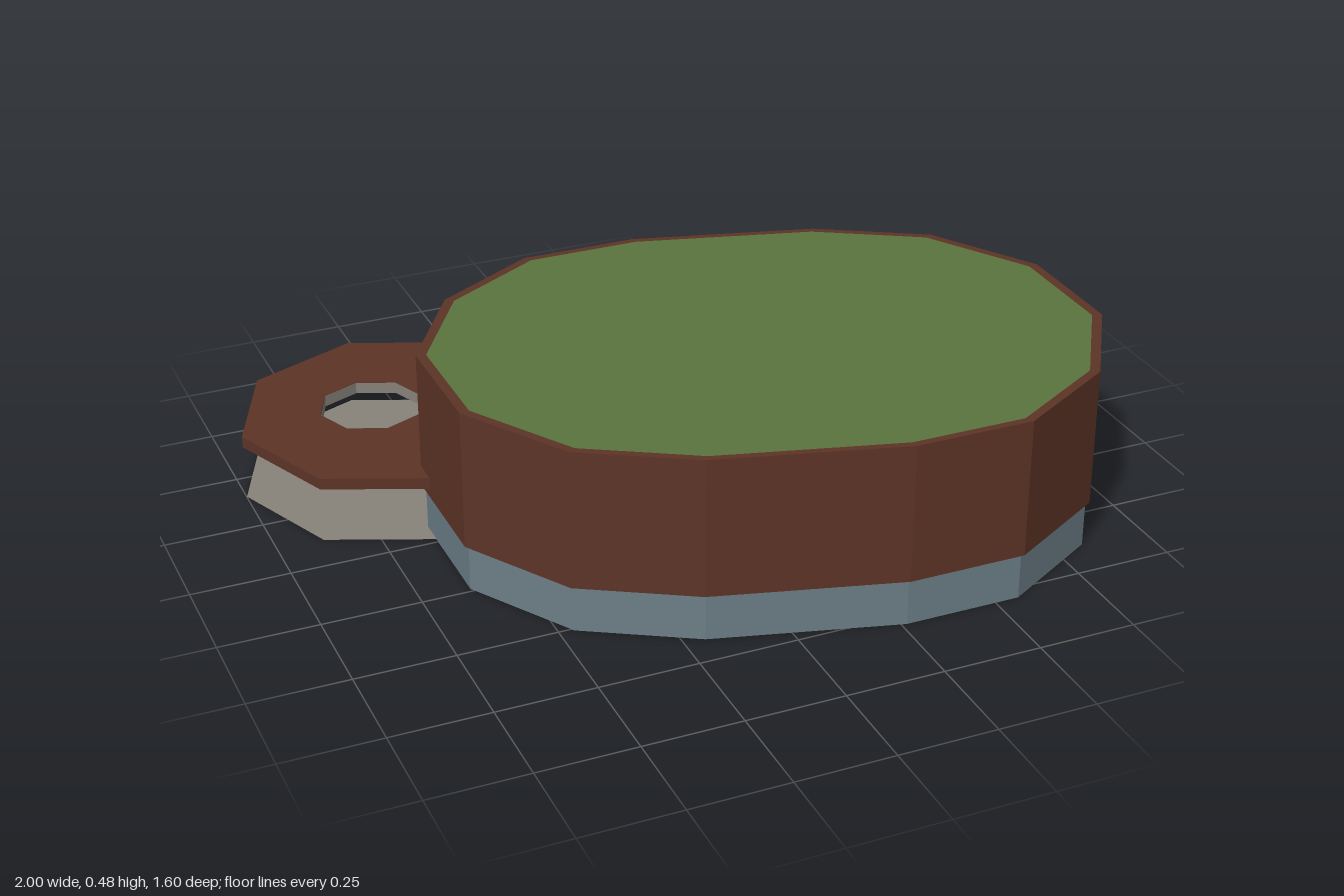
import * as THREE from 'three';

const CX = 0.183, CZ = 0.148;

// Half of the pond-like outline as (x, z); the other half is its point reflection
const HALF = [
  [-0.635, 0.24], [-0.635, -0.08], [-0.47, -0.345], [-0.2, -0.5],
  [0.102, -0.5], [0.568, -0.373], [0.837, -0.216],
];
const OUTLINE = [...HALF, ...HALF.map(([x, z]) => [2 * CX - x, 2 * CZ - z])];

const mat = (color) => new THREE.MeshStandardMaterial({ color, flatShading: true, side: THREE.DoubleSide });

// Outline scaled about its centre, as 2D points (x, -z)
const outline = (s) => OUTLINE.map(([x, z]) =>
  new THREE.Vector2(CX + (x - CX) * s, -(CZ + (z - CZ) * s)));

// Regular octagon with corners on the axes
const octagon = (x, z, r) => Array.from({ length: 8 }, (_, i) =>
  new THREE.Vector2(x + r * Math.cos(i * Math.PI / 4), -z + r * Math.sin(i * Math.PI / 4)));

// Upright slab between y0 and y1, with an optional hole
function slab(name, points, y0, y1, material, hole) {
  const shape = new THREE.Shape(points);
  if (hole) shape.holes.push(new THREE.Path(hole));
  const geo = new THREE.ExtrudeGeometry(shape, { depth: y1 - y0, bevelEnabled: false });
  geo.rotateX(-Math.PI / 2).translate(0, y0, 0);
  const mesh = new THREE.Mesh(geo, material);
  mesh.name = name;
  return mesh;
}

export function createModel() {
  const group = new THREE.Group();
  group.name = 'model';
  const brown = mat(0x5e3427), green = mat(0x5a743d), slate = mat(0x6c7f87), stone = mat(0x88827a);

  // Main block: inset base, brown wall, green top
  group.add(
    slab('base', outline(0.988), 0, 0.12, slate),
    slab('wall', outline(1), 0.12, 0.48, brown, outline(0.97)),
    slab('top', outline(0.97), 0.12, 0.48, green),
  );

  // Raised side plate with an off-centre opening
  const px = -0.6, pz = -0.4, hx = -0.65, hz = -0.435, hr = 0.135;
  group.add(slab('sidePlate', octagon(px, pz, 0.4), 0.145, 0.175, brown, octagon(hx, hz, hr)));

  // Stone lining of the opening
  const lining = new THREE.Mesh(new THREE.CylinderGeometry(hr - 0.001, hr - 0.001, 0.03, 8, 1, true), stone);
  lining.position.set(hx, 0.16, hz);
  lining.name = 'openingLining';
  group.add(lining);

  // Thin ground sheet under the plate
  const sheetGeo = new THREE.ShapeGeometry(new THREE.Shape(octagon(px, pz, 0.4)));
  sheetGeo.rotateX(-Math.PI / 2).translate(0, 0.002, 0);
  const sheet = new THREE.Mesh(sheetGeo, stone);
  sheet.name = 'groundSheet';
  group.add(sheet);

  return group;
}
